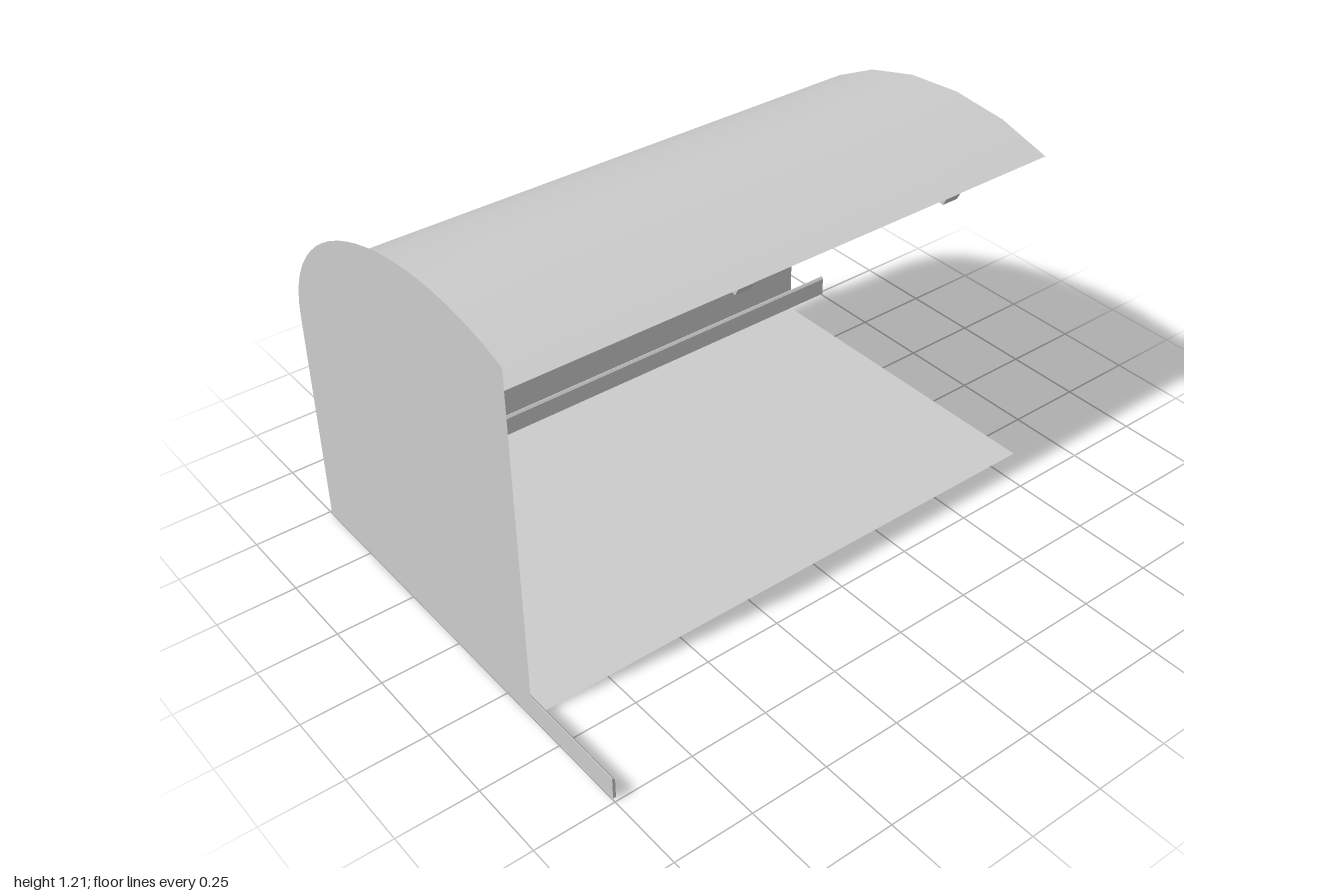
import * as THREE from 'three';

const grey = new THREE.MeshStandardMaterial({ color: 0xcccccc, side: THREE.DoubleSide });
const orange = new THREE.MeshStandardMaterial({ color: 0xe8962a });
const LEFT = -1, RIGHT = 0.855, BACK = -0.74, FRONT = 0.37;
const SPRING = 0.66; // height where the vault starts

// Points (z, y) of the elliptical vault, from the back wall over the crown to the front edge
function vault(a, b, base, steps) {
  return Array.from({ length: steps + 1 }, (_, i) => {
    const t = -Math.PI / 2 + (i / steps) * (Math.PI * 2 / 3);
    return new THREE.Vector2(a * Math.sin(t), base + b * Math.cos(t));
  });
}

function add(group, name, geometry, material = grey) {
  const mesh = new THREE.Mesh(geometry, material);
  mesh.name = name;
  group.add(mesh);
  return mesh;
}

// Extrude a (z, y) outline along x, centred on the given x
function extrudeAlongX(points, width, x) {
  const geo = new THREE.ExtrudeGeometry(new THREE.Shape(points), { depth: width, bevelEnabled: false });
  return geo.rotateY(-Math.PI / 2).translate(x + width / 2, 0, 0);
}

// Smooth roof sheet: a plane bent along the vault curve
function roofGeometry() {
  const profile = vault(0.74, 0.487, SPRING, 8);
  const geo = new THREE.PlaneGeometry(RIGHT - LEFT, 1, 5, 8);
  const pos = geo.attributes.position;
  for (let i = 0; i < pos.count; i++) {
    const p = profile[Math.floor(i / 6)];
    pos.setXYZ(i, pos.getX(i) + (LEFT + RIGHT) / 2, p.y, p.x);
  }
  geo.computeVertexNormals();
  return geo;
}

// Skirting board with a small chamfer on its top edge, running along x
function skirting(length) {
  const s = new THREE.Shape([[0, 0.006], [0.009, 0.006], [0.009, 0.069], [0.003, 0.077], [0, 0.077]]
    .map(([x, y]) => new THREE.Vector2(x, y)));
  return new THREE.ExtrudeGeometry(s, { depth: length, bevelEnabled: false });
}

function createTorch() {
  const torch = new THREE.Group();
  torch.name = 'wallTorch';
  // Tapered handle with rings and a cup
  const profile = [[0, 0.38], [0.004, 0.38], [0.006, 0.44], [0.009, 0.445], [0.009, 0.452], [0.006, 0.457],
    [0.006, 0.483], [0.01, 0.488], [0.01, 0.506], [0, 0.506]];
  add(torch, 'handle', new THREE.LatheGeometry(profile.map(([x, y]) => new THREE.Vector2(x, y)), 8));
  // Flame
  const flame = [[0, 0.506], [0.009, 0.51], [0.013, 0.522], [0.008, 0.543], [0, 0.563]];
  add(torch, 'flame', new THREE.LatheGeometry(flame.map(([x, y]) => new THREE.Vector2(x, y)), 8), orange);
  // Bracket to the wall
  const arm = new THREE.LineCurve3(new THREE.Vector3(0, 0.445, 0), new THREE.Vector3(0, 0.43, -0.049));
  add(torch, 'bracketArm', new THREE.TubeGeometry(arm, 1, 0.004, 6));
  add(torch, 'bracketRing', new THREE.TorusGeometry(0.008, 0.003, 6, 10).rotateX(Math.PI / 2)).position.y = 0.444;
  torch.position.set(-0.26, 0, -0.688);
  return torch;
}

export function createModel() {
  const model = new THREE.Group();
  model.name = 'vaultedRoom';
  const width = RIGHT - LEFT, cx = (LEFT + RIGHT) / 2, cz = (BACK + FRONT) / 2;

  // Floor, back wall and roof
  add(model, 'floor', new THREE.PlaneGeometry(width, FRONT - BACK).rotateX(-Math.PI / 2)).position.set(cx, 0, cz);
  add(model, 'backWall', new THREE.PlaneGeometry(width, SPRING)).position.set(cx, SPRING / 2, BACK);
  add(model, 'roof', roofGeometry());

  // End wall, rising a little above the roof
  const outline = [new THREE.Vector2(FRONT, 0), new THREE.Vector2(BACK, 0), ...vault(0.74, 0.477, 0.735, 24)];
  const wall = new THREE.ShapeGeometry(new THREE.Shape(outline)).rotateY(-Math.PI / 2);
  add(model, 'endWall', wall).position.x = LEFT;

  // Curved ribs below the roof
  const rib = [...vault(0.738, 0.485, SPRING, 8), ...vault(0.712, 0.458, SPRING, 8).reverse()];
  for (const x of [-0.26, 0.485]) add(model, 'roofRib', extrudeAlongX(rib, 0.055, x));

  // Skirting boards, both running past the walls
  const backBoard = skirting(2).scale(-1, 1, 1).rotateY(Math.PI / 2);
  // restore outward winding after the mirror
  const position = backBoard.attributes.position;
  for (let i = 0; i < position.count; i += 3) {
    const a = new THREE.Vector3().fromBufferAttribute(position, i);
    const c = new THREE.Vector3().fromBufferAttribute(position, i + 2);
    position.setXYZ(i, c.x, c.y, c.z);
    position.setXYZ(i + 2, a.x, a.y, a.z);
  }
  backBoard.computeVertexNormals();
  add(model, 'backSkirting', backBoard).position.set(-1, 0, BACK);
  add(model, 'endSkirting', skirting(1.482)).position.set(LEFT, 0, BACK);

  model.add(createTorch());
  return model;
}
